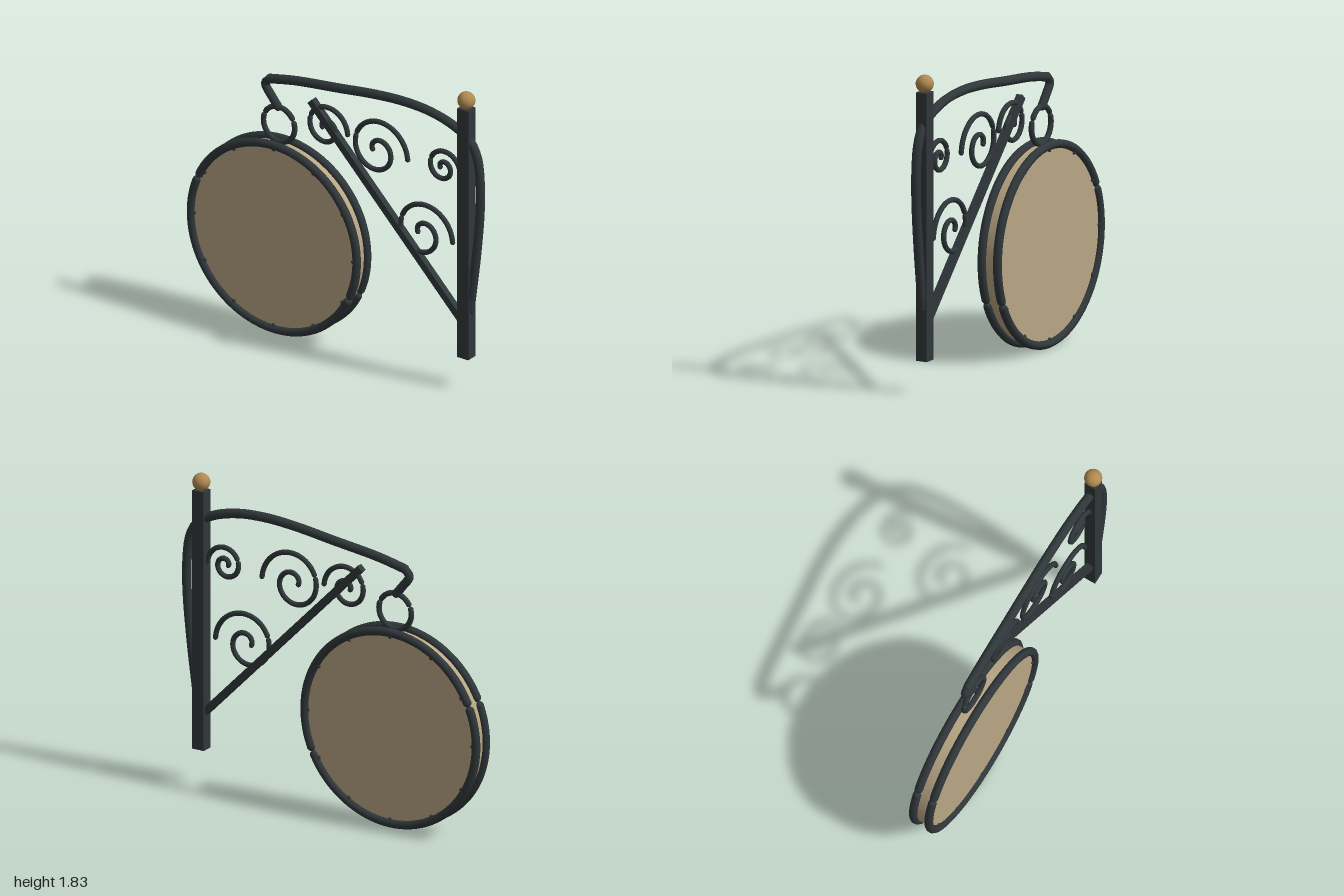
import * as THREE from 'three';

const iron = new THREE.MeshStandardMaterial({ color: 0x30373a });
const board = new THREE.MeshStandardMaterial({ color: 0xb8a684 });
const brass = new THREE.MeshStandardMaterial({ color: 0xb08a50 });
const rad = THREE.MathUtils.degToRad;

function add(parent, name, geometry, material, x = 0, y = 0, z = 0) {
  const mesh = new THREE.Mesh(geometry, material);
  mesh.name = name;
  mesh.position.set(x, y, z);
  parent.add(mesh);
  return mesh;
}

// Round bar along points, closed by rounded ends
function bar(parent, name, points, radius, steps, sides = 10) {
  const group = new THREE.Group();
  group.name = name;
  const curve = new THREE.CatmullRomCurve3(points);
  add(group, name + 'Rod', new THREE.TubeGeometry(curve, steps, radius, sides), iron);
  for (const p of [points[0], points[points.length - 1]]) {
    add(group, name + 'End', new THREE.SphereGeometry(radius, sides, 8), iron, p.x, p.y, p.z);
  }
  parent.add(group);
  return group;
}

// Bar following an arc or spiral between two angles (degrees)
function sweep(parent, name, radiusAt, from, to, thickness, steps) {
  const points = [];
  for (let i = 0; i <= steps; i++) {
    const a = from + (to - from) * i / steps;
    const r = radiusAt(a);
    points.push(new THREE.Vector3(r * Math.cos(rad(a)), r * Math.sin(rad(a)), 0));
  }
  return bar(parent, name, points, thickness, steps * 2);
}

// Ring forged from two arcs that meet at angles a and b
function ring(parent, name, radius, thickness, a, b, x, y, z) {
  const group = new THREE.Group();
  group.name = name;
  group.position.set(x, y, z);
  const inset = THREE.MathUtils.radToDeg(thickness / radius) * 0.95;
  sweep(group, name + 'UpperArc', () => radius, a + inset, b - inset, thickness, 32);
  sweep(group, name + 'LowerArc', () => radius, b + inset, a + 360 - inset, thickness, 32);
  parent.add(group);
}

// Spiral scroll winding inwards, with a joint on its outer turn
function scroll(parent, x, y, size) {
  const group = new THREE.Group();
  group.name = 'scroll';
  group.position.set(x, y, 0);
  const radiusAt = a => size * (1 - 0.846 * a / 540);
  const inset = THREE.MathUtils.radToDeg(0.015 / radiusAt(155)) * 0.9;
  sweep(group, 'scrollOuter', radiusAt, 0, 155 - inset, 0.015, 16);
  sweep(group, 'scrollInner', radiusAt, 155 + inset, 540, 0.015, 36);
  parent.add(group);
}

export function createModel() {
  const model = new THREE.Group();
  model.name = 'hangingSign';

  // Post and finial
  add(model, 'post', new THREE.BoxGeometry(0.076, 1.54, 0.07), iron, 0.875, 0.97, 0);
  add(model, 'finial', new THREE.SphereGeometry(0.051, 24, 16), brass, 0.875, 1.787, 0);

  // Curved arm from the hook, over the top and down behind the post
  const arm = [
    [-0.47, 1.543], [-0.3, 1.578], [0, 1.616], [0.25, 1.648], [0.45, 1.66], [0.63, 1.648],
    [0.79, 1.605], [0.9, 1.54], [0.95, 1.45], [0.97, 1.3], [0.969, 1.12], [0.945, 0.85], [0.9, 0.5],
  ].map(([x, y]) => new THREE.Vector3(x, y, 0));
  bar(model, 'arm', arm, 0.027, 60);
  const hook = [[-0.47, 1.543], [-0.502, 1.505], [-0.46, 1.44], [-0.415, 1.385]]
    .map(([x, y]) => new THREE.Vector3(x, y, 0));
  bar(model, 'hook', hook, 0.025, 20);

  // Diagonal brace
  const from = new THREE.Vector2(-0.185, 1.49), to = new THREE.Vector2(0.845, 0.425);
  const brace = add(model, 'brace', new THREE.BoxGeometry(from.distanceTo(to), 0.042, 0.04), iron,
    (from.x + to.x) / 2, (from.y + to.y) / 2, 0);
  brace.rotation.z = Math.atan2(to.y - from.y, to.x - from.x);

  // Scrolls filling the bracket
  scroll(model, -0.088, 1.345, 0.15);
  scroll(model, 0.265, 1.305, 0.208);
  scroll(model, 0.575, 0.88, 0.206);
  scroll(model, 0.714, 1.325, 0.118);

  // Hanging ring
  ring(model, 'hangingRing', 0.107, 0.016, 25, 155, -0.408, 1.278, 0);

  // Round board with a rim and rivets on each face
  const cx = -0.408, cy = 0.598;
  const disc = add(model, 'signBoard', new THREE.CylinderGeometry(0.562, 0.562, 0.1, 64), board, cx, cy, 0);
  disc.rotation.x = Math.PI / 2;
  for (const side of [1, -1]) {
    ring(model, 'rim', 0.567, 0.025, -25, 156, cx, cy, side * 0.05);
    for (let i = 0; i < 12; i++) {
      const a = i * Math.PI / 6;
      add(model, 'rivet', new THREE.SphereGeometry(0.011, 8, 6), iron,
        cx + 0.543 * Math.cos(a), cy + 0.543 * Math.sin(a), side * 0.053);
    }
  }
  return model;
}
